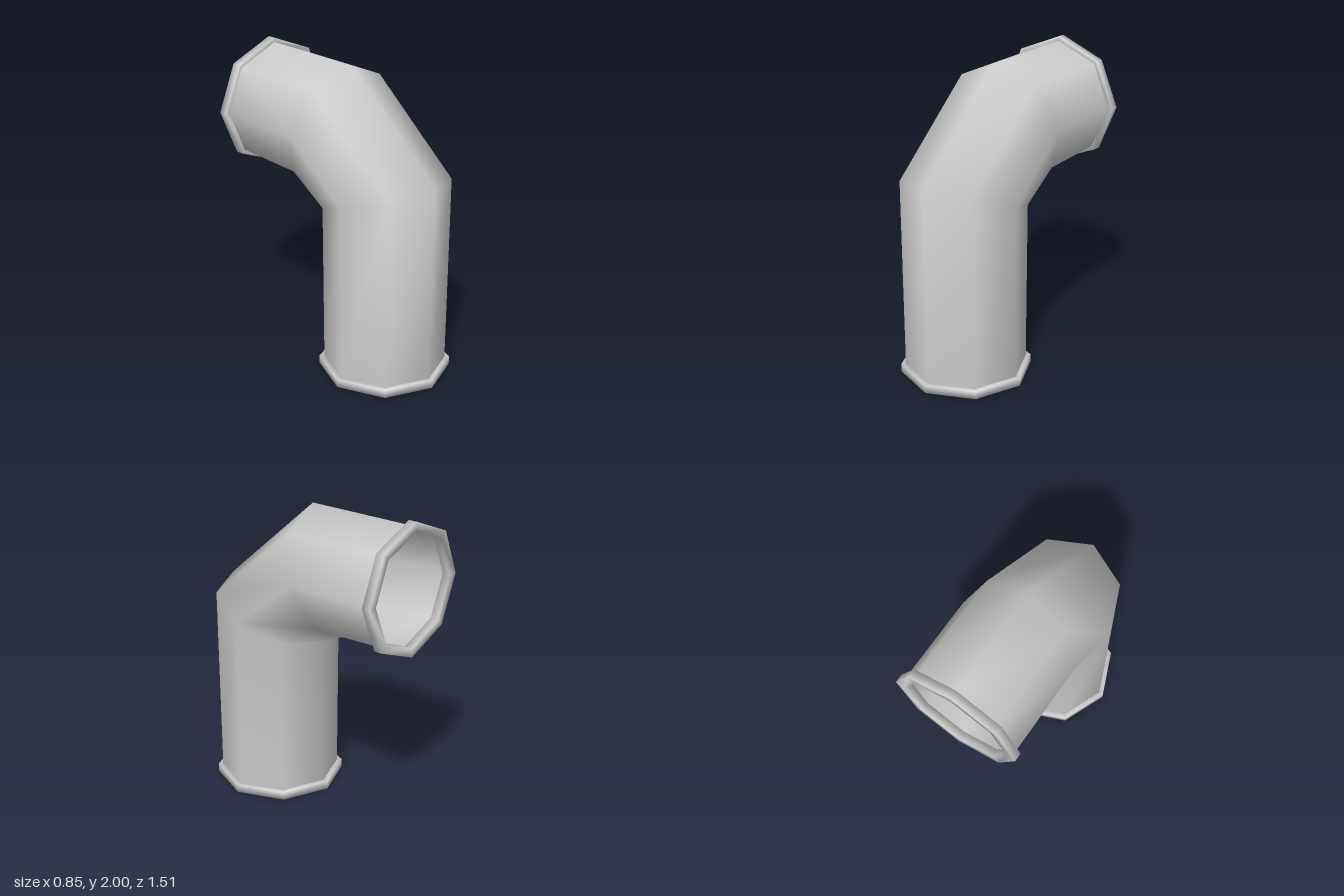
import * as THREE from 'three';
import { mergeVertices } from 'three/addons/utils/BufferGeometryUtils.js';

const SIDES = 8;
const material = new THREE.MeshStandardMaterial({ color: 0xcccccc, side: THREE.DoubleSide });

// Skins octagonal sections. Each section: outer point [z, y], inner point [z, y], half width in x.
function loft(sections) {
  const positions = [], index = [];
  sections.forEach(([outer, inner, halfWidth], s) => {
    for (let i = 0; i < SIDES; i++) {
      const a = (i / SIDES) * Math.PI * 2;
      const t = (1 + Math.cos(a)) / 2;
      positions.push(
        halfWidth * Math.sin(a),
        THREE.MathUtils.lerp(inner[1], outer[1], t),
        THREE.MathUtils.lerp(inner[0], outer[0], t)
      );
      if (s === 0) continue;
      const j = (i + 1) % SIDES, lo = (s - 1) * SIDES, hi = s * SIDES;
      index.push(lo + i, lo + j, hi + j, lo + i, hi + j, hi + i);
    }
  });
  let geometry = new THREE.BufferGeometry();
  geometry.setAttribute('position', new THREE.Float32BufferAttribute(positions, 3));
  geometry.setIndex(index);
  geometry = mergeVertices(geometry);
  geometry.computeVertexNormals();
  return geometry;
}

function addPart(group, name, geometry) {
  const mesh = new THREE.Mesh(geometry, material);
  mesh.name = name;
  group.add(mesh);
  return mesh;
}

export function createModel() {
  const group = new THREE.Group();
  group.name = 'pipeElbow';

  // Open pipe: upright leg, two-mitre bend, horizontal leg
  addPart(group, 'pipe', loft([
    [[0.725, 0.03], [-0.062, 0.03], 0.394],
    [[0.735, 1.355], [-0.07, 1.065], 0.394],
    [[0.03, 1.965], [-0.26, 1.16], 0.394],
    [[-0.727, 1.97], [-0.727, 1.182], 0.394],
  ]));

  // Collars: a square band swept round each mouth
  const band = [[0.425, 0], [0.425, 0.055], [0.366, 0.055], [0.366, 0], [0.425, 0]];
  const collar = loft(band.map(([r, h]) => [[r, h], [-r, h], r]));
  addPart(group, 'bottomCollar', collar).position.set(0, 0, 0.33);
  const back = addPart(group, 'backCollar', collar);
  back.position.set(0, 1.575, -0.755);
  back.rotation.x = Math.PI / 2;

  return group;
}
